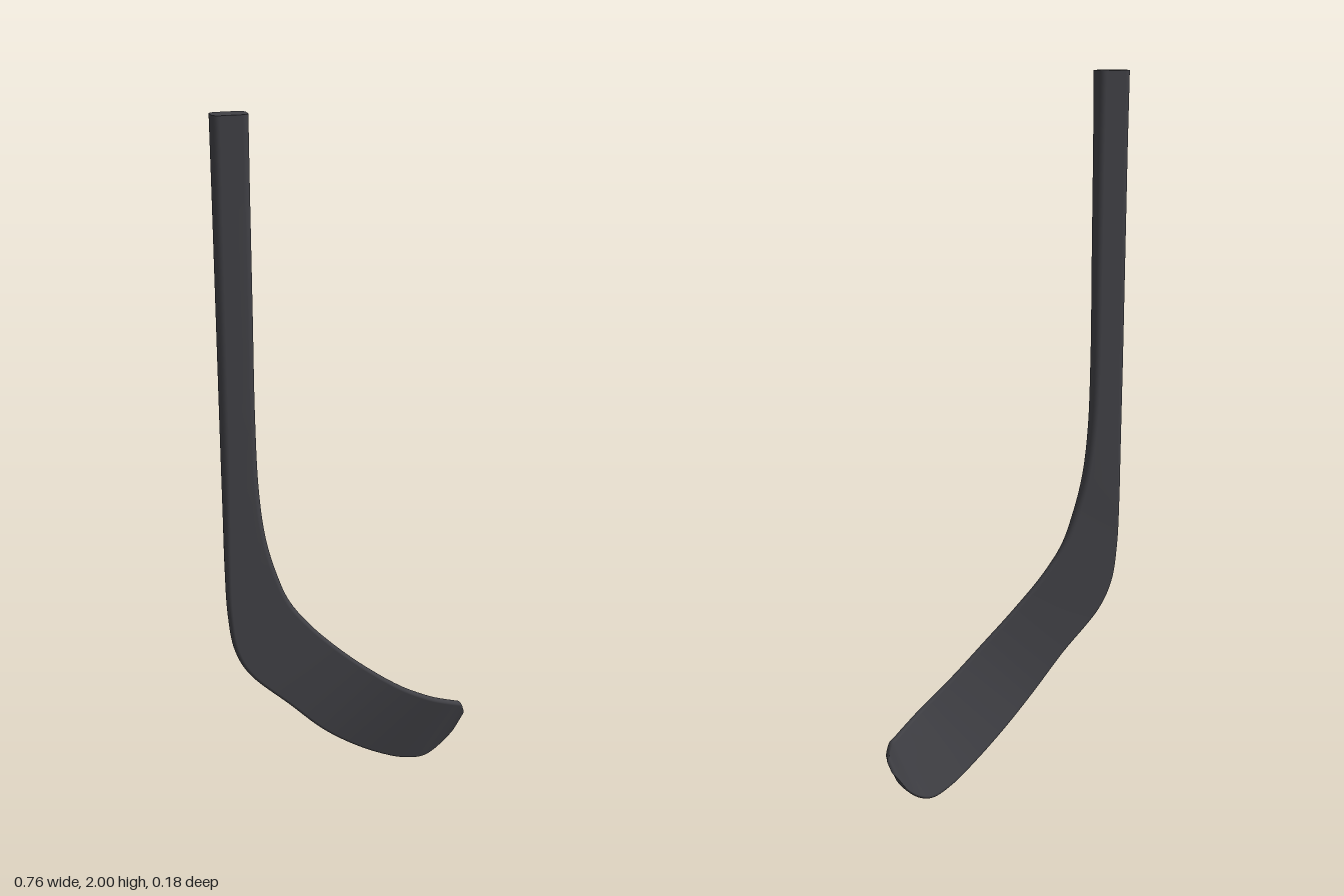
import * as THREE from 'three';

// Stations from the cut end of the shaft to the toe of the blade:
// [heel-side edge x, y, z,  upper edge x, y, z,  half thickness]
const stations = [
  [-0.378, 2.00, 0.060, -0.285, 2.00, 0.060, 0.030],
  [-0.378, 1.80, 0.060, -0.285, 1.80, 0.060, 0.0265],
  [-0.378, 1.50, 0.060, -0.285, 1.50, 0.060, 0.025],
  [-0.378, 1.20, 0.060, -0.285, 1.20, 0.060, 0.0235],
  [-0.378, 0.95, 0.061, -0.279, 1.00, 0.061, 0.021],
  [-0.378, 0.78, 0.062, -0.263, 0.86, 0.062, 0.0185],
  [-0.374, 0.64, 0.063, -0.235, 0.75, 0.063, 0.016],
  [-0.358, 0.53, 0.062, -0.200, 0.66, 0.062, 0.0135],
  [-0.320, 0.45, 0.061, -0.140, 0.575, 0.062, 0.0115],
  [-0.200, 0.325, 0.055, -0.050, 0.48, 0.062, 0.010],
  [-0.100, 0.22, 0.040, 0.050, 0.39, 0.055, 0.010],
  [0.000, 0.135, 0.012, 0.150, 0.31, 0.037, 0.010],
  [0.100, 0.065, -0.020, 0.250, 0.245, 0.010, 0.010],
  [0.180, 0.02, -0.048, 0.310, 0.21, -0.017, 0.010],
  [0.250, 0.00, -0.070, 0.345, 0.19, -0.035, 0.010],
  [0.295, 0.015, -0.080, 0.362, 0.18, -0.042, 0.010],
  [0.335, 0.05, -0.080, 0.373, 0.155, -0.048, 0.009],
  [0.355, 0.08, -0.074, 0.375, 0.14, -0.054, 0.008],
  [0.366, 0.105, -0.064, 0.375, 0.13, -0.057, 0.006],
];

const STEPS = 144;
const CORNER = 6; // points per rounded corner

// Rounded rectangle, counter-clockwise, as [u, n] offsets
function roundedRect(w, h) {
  const r = Math.min(0.018, h * 0.9, w * 0.9);
  const pts = [];
  for (let q = 0; q < 4; q++) {
    const su = q === 0 || q === 3 ? 1 : -1;
    const sn = q < 2 ? 1 : -1;
    for (let k = 0; k < CORNER; k++) {
      const a = (q + k / (CORNER - 1)) * Math.PI / 2;
      pts.push([su * (w - r) + r * Math.cos(a), sn * (h - r) + r * Math.sin(a)]);
    }
  }
  return pts;
}

// Loft of rounded rectangles between the two edge curves
function loftGeometry() {
  const curve = (f) => new THREE.CatmullRomCurve3(stations.map(f));
  const edgeA = curve((s) => new THREE.Vector3(s[0], s[1], s[2]));
  const edgeB = curve((s) => new THREE.Vector3(s[3], s[4], s[5]));
  const middle = (t) => edgeA.getPoint(t).lerp(edgeB.getPoint(t), 0.5);
  const thickness = (t) => {
    const f = t * (stations.length - 1);
    const i = Math.min(Math.floor(f), stations.length - 2);
    return THREE.MathUtils.lerp(stations[i][6], stations[i + 1][6], f - i);
  };

  const positions = [], index = [], rings = [];
  const n = CORNER * 4;
  for (let i = 0; i <= STEPS; i++) {
    const t = i / STEPS;
    const a = edgeA.getPoint(t), b = edgeB.getPoint(t);
    const center = middle(t);
    const u = b.clone().sub(a);
    const w = u.length() / 2;
    u.normalize();
    const along = middle(Math.min(1, t + 0.004)).sub(middle(Math.max(0, t - 0.004)));
    const normal = along.cross(u).normalize();
    const ring = roundedRect(w, thickness(t)).map(([pu, pn]) =>
      center.clone().addScaledVector(u, pu).addScaledVector(normal, pn));
    rings.push(ring);
    ring.forEach((p) => positions.push(p.x, p.y, p.z));
    if (i === STEPS) break;
    for (let j = 0; j < n; j++) {
      const p = i * n + j, q = i * n + (j + 1) % n;
      index.push(p, q, p + n, q, q + n, p + n);
    }
  }

  // Flat caps with their own vertices so the rims stay sharp
  const addCap = (ring, flip) => {
    const start = positions.length / 3;
    ring.forEach((p) => positions.push(p.x, p.y, p.z));
    for (let j = 1; j < n - 1; j++) {
      if (flip) index.push(start, start + j + 1, start + j);
      else index.push(start, start + j, start + j + 1);
    }
  };
  addCap(rings[0], true);
  addCap(rings[STEPS], false);

  const geometry = new THREE.BufferGeometry();
  geometry.setAttribute('position', new THREE.Float32BufferAttribute(positions, 3));
  geometry.setIndex(index);
  geometry.computeVertexNormals();
  return geometry;
}

export function createModel() {
  const group = new THREE.Group();
  group.name = 'hockeyStick';
  const material = new THREE.MeshStandardMaterial({ color: 0x404045 });
  // Shaft flows into the curved blade as one skin
  const stick = new THREE.Mesh(loftGeometry(), material);
  stick.name = 'shaftAndBlade';
  group.add(stick);
  return group;
}
